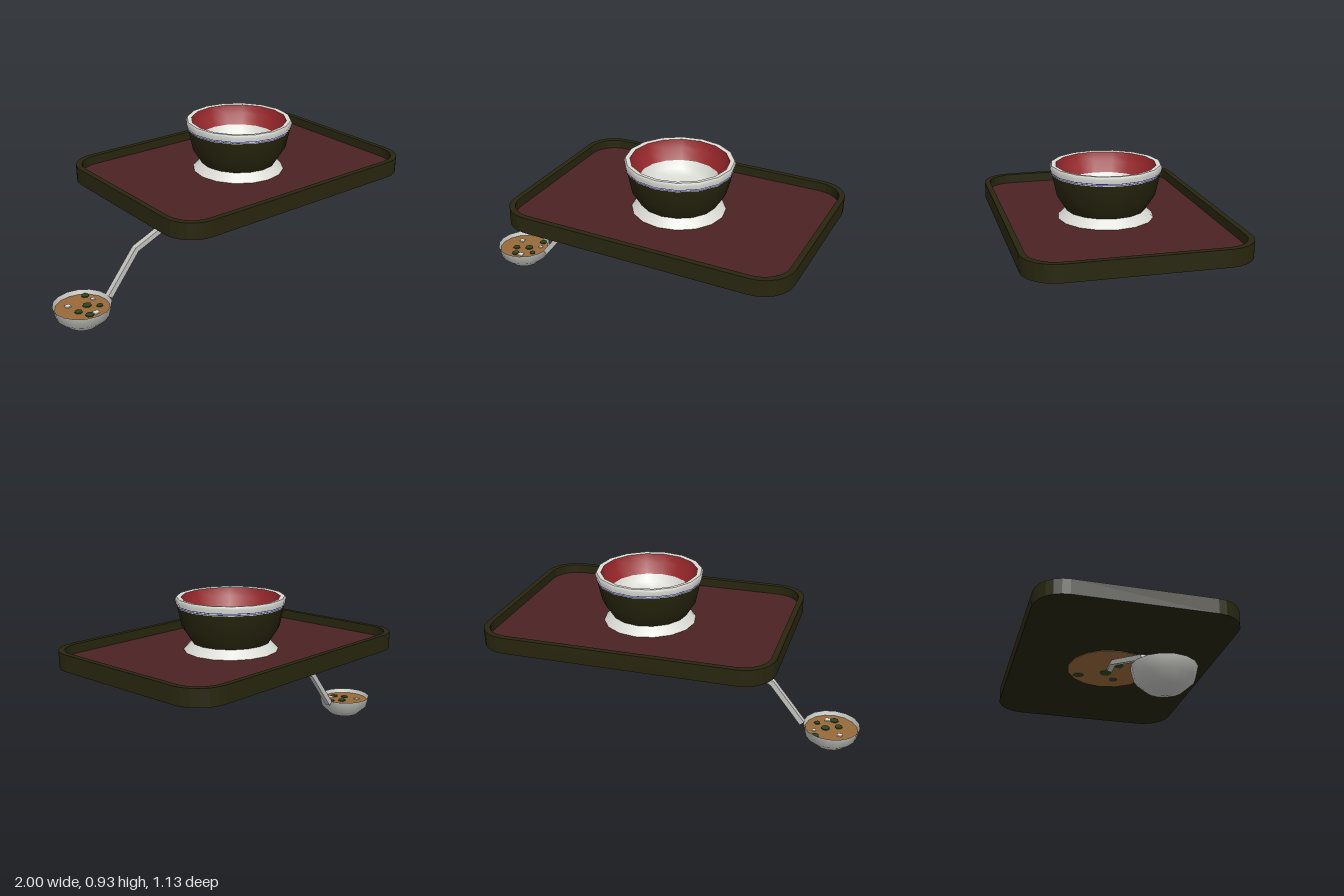
import * as THREE from 'three';

const paint = (name, color) => {
  const m = new THREE.MeshStandardMaterial({ color, side: THREE.DoubleSide });
  m.name = name;
  return m;
};

export function createModel() {
  const olive = paint('dark olive lacquer', 0x28260f);
  const maroon = paint('maroon tray floor', 0x4c2224);
  const white = paint('porcelain white', 0xdcdcd6);
  const red = paint('red glaze', 0x96262a);
  const blue = paint('blue trim', 0x30308c);
  const steel = paint('ladle steel', 0xc4c4c0);
  const broth = paint('brown broth', 0x986a3a);
  const green = paint('chopped herb green', 0x2f4420);

  const root = new THREE.Group();
  root.name = 'soupBowlTrayAndLadle';
  const add = (parent, name, geometry, material, x = 0, y = 0, z = 0) => {
    const mesh = new THREE.Mesh(geometry, material);
    mesh.name = name;
    mesh.position.set(x, y, z);
    parent.add(mesh);
    return mesh;
  };
  const group = (name, x, y, z) => {
    const g = new THREE.Group();
    g.name = name;
    g.position.set(x, y, z);
    root.add(g);
    return g;
  };
  const lathe = (pts, n = 16) =>
    new THREE.LatheGeometry(pts.map(([r, y]) => new THREE.Vector2(r, y)), n);

  // Rounded rectangle outline, half sizes w and d, corner radius r
  const outline = (w, d, r, Type = THREE.Shape) => {
    const s = new Type();
    s.moveTo(w, d - r);
    s.absarc(w - r, d - r, r, 0, Math.PI / 2);
    s.absarc(r - w, d - r, r, Math.PI / 2, Math.PI);
    s.absarc(r - w, r - d, r, Math.PI, Math.PI * 1.5);
    s.absarc(w - r, r - d, r, Math.PI * 1.5, Math.PI * 2);
    s.closePath();
    return s;
  };
  const slab = (shape, depth) =>
    new THREE.ExtrudeGeometry(shape, { depth, bevelEnabled: false, curveSegments: 3 }).rotateX(-Math.PI / 2);

  // Tray: raised rim, base and coloured floor
  const tray = group('tray', 0.207, 0.605, 0);
  const rim = outline(0.793, 0.565, 0.17);
  rim.holes.push(outline(0.763, 0.535, 0.145, THREE.Path));
  add(tray, 'trayRim', slab(rim, 0.09), olive);
  add(tray, 'trayBase', slab(outline(0.78, 0.552, 0.155), 0.03), olive);
  add(tray, 'trayFloor', slab(outline(0.764, 0.536, 0.145), 0.008), maroon, 0, 0.032);

  // Bowl, in world heights
  const bowl = group('bowl', 0.207, 0, 0);
  add(bowl, 'bowlFoot', lathe([[0.255, 0.645], [0.235, 0.665], [0.21, 0.69]]), white);
  add(bowl, 'bowlBody', lathe([[0.21, 0.688], [0.262, 0.77], [0.286, 0.88]]), olive);
  add(bowl, 'bowlBand', lathe([[0.286, 0.88], [0.296, 0.917], [0.288, 0.931]]), white);
  add(bowl, 'bowlLip', lathe([[0.288, 0.931], [0.264, 0.928]]), white);
  add(bowl, 'bowlInnerBand', lathe([[0.264, 0.928], [0.252, 0.88], [0.215, 0.825]]), red);
  add(bowl, 'bowlInside', lathe([[0.215, 0.825], [0.192, 0.785], [0.162, 0.755], [0, 0.748]]), white);
  for (const [y, r] of [[0.886, 0.289], [0.894, 0.2915]])
    add(bowl, 'bowlStripe', lathe([[r, y - 0.0018], [r + 0.001, y + 0.0018]]), blue);

  // Ladle cup with broth
  const ladle = group('ladle', -0.843, 0, 0);
  add(ladle, 'ladleCup', lathe([[0, 0], [0.035, 0], [0.09, 0.017], [0.142, 0.064], [0.157, 0.126]]), steel);
  add(ladle, 'ladleCupInside', lathe([[0.157, 0.126], [0.147, 0.1], [0.13, 0.062], [0, 0.03]]), steel);
  const disc = (r, h = 0.004, n = 16) => new THREE.CylinderGeometry(r, r, h, n);
  add(ladle, 'broth', disc(0.146), broth, 0, 0.1, 0);

  // Garnish scattered over the broth: x, z, radius
  const herbs = [[0.075, -0.1, 0.021], [0.032, -0.006, 0.024], [-0.038, 0.026, 0.021], [0.084, 0.036, 0.017], [-0.006, 0.086, 0.023]];
  const cubes = [[-0.054, -0.058, 0.016], [0.032, 0.086, 0.018], [0.09, -0.045, 0.012]];
  for (const [x, z, r] of herbs) add(ladle, 'herb', disc(r, 0.008, 7), green, x, 0.104, z);
  for (const [x, z, r] of cubes) add(ladle, 'tofu', new THREE.BoxGeometry(r * 1.7, 0.008, r * 1.7), white, x, 0.104, z);

  // Bent square handle, widened to both sides of its centre line
  const line = [[-0.68, 0.115], [-0.5, 0.343], [0.12, 0.605], [0.2, 0.598]].map(p => new THREE.Vector2(...p));
  const side = (k) => line.map((p, i) => {
    const a = line[Math.max(i - 1, 0)], b = line[Math.min(i + 1, line.length - 1)];
    const t = p.clone().sub(a).normalize().add(b.clone().sub(p).normalize()).normalize();
    return new THREE.Vector2(p.x - t.y * k, p.y + t.x * k);
  });
  const bar = new THREE.Shape([...side(-0.015), ...side(0.015).reverse()]);
  add(root, 'ladleHandle', new THREE.ExtrudeGeometry(bar, { depth: 0.032, bevelEnabled: false }), steel, 0, 0, -0.016);

  // Broth disc set into the underside of the tray
  const under = group('undersideBroth', 0.207, 0.604, 0);
  add(under, 'undersideDisc', disc(0.245), broth);
  for (const [x, z, r] of herbs.slice(0, 4)) add(under, 'undersideHerb', disc(r * 1.5, 0.006, 7), green, x * 1.6, -0.001, z * 1.6);

  return root;
}
